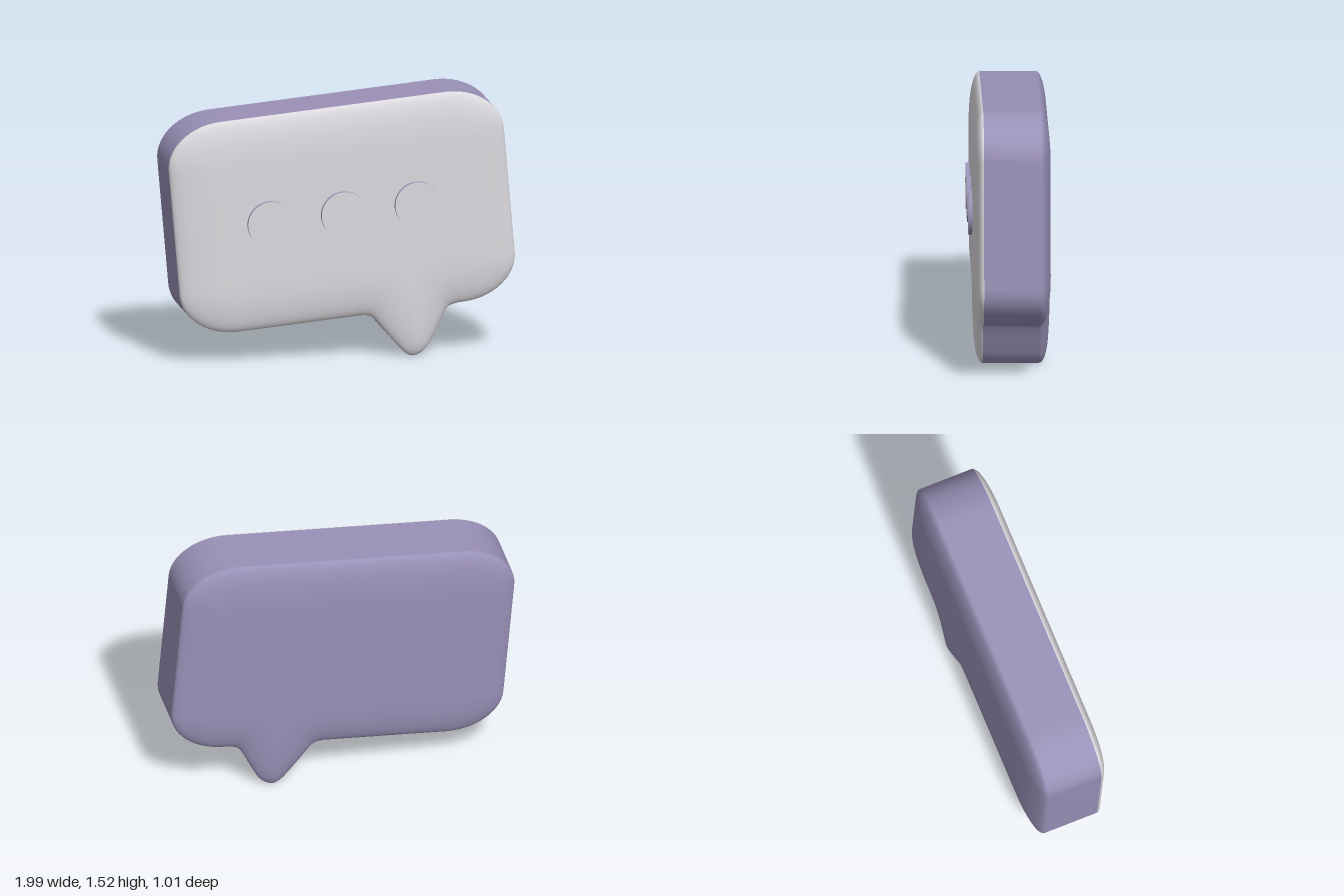
import * as THREE from 'three';

const W = 0.97, H = 0.613, RX = 0.32, RY = 0.25;   // half size and corner radii
const DEPTH = 0.16, BULGE = 0.06, SOFT = 0.27;     // half wall depth, cushion height and width

// Pointer hanging from the lower edge
const tail = new THREE.SplineCurve([
  [0.06, -0.613], [0.12, -0.63], [0.18, -0.712], [0.245, -0.805], [0.297, -0.868], [0.34, -0.885],
  [0.385, -0.87], [0.425, -0.835], [0.475, -0.757], [0.53, -0.665], [0.565, -0.625], [0.62, -0.613],
].map(([x, y]) => new THREE.Vector2(x, y))).getPoints(110);

// Upper edge height of the rounded panel at u
function topEdge(u) {
  const k = Math.min(1, Math.max(0, (Math.abs(u) - (W - RX)) / RX));
  return H - RY + RY * Math.sqrt(1 - k * k);
}

// Lower edge height at u, including the pointer
function bottomEdge(u) {
  for (let i = 1; i < tail.length; i++) {
    const a = tail[i - 1], b = tail[i];
    if (u >= a.x && u < b.x) return a.y + (b.y - a.y) * (u - a.x) / (b.x - a.x);
  }
  return -topEdge(u);
}

// Columns across the panel, denser around the corners
function columns() {
  const us = [], n = 14, m = 90;
  for (let i = 0; i < n; i++) us.push(-(W - RX) - RX * Math.cos(i / n * Math.PI / 2));
  for (let i = 0; i <= m; i++) us.push((W - RX) * (2 * i / m - 1));
  for (let i = n - 1; i >= 0; i--) us.push(W - RX + RX * Math.cos(i / n * Math.PI / 2));
  return us;
}

function makeGeometry(positions, index) {
  const g = new THREE.BufferGeometry();
  g.setAttribute('position', new THREE.Float32BufferAttribute(positions, 3));
  g.setIndex(index);
  g.computeVertexNormals();
  return g;
}

// Distance from a point to the closed outline
function edgeDistance(x, y, loop) {
  let best = Infinity;
  loop.forEach((a, i) => {
    const b = loop[(i + 1) % loop.length];
    const dx = b.x - a.x, dy = b.y - a.y;
    const t = Math.min(1, Math.max(0, ((x - a.x) * dx + (y - a.y) * dy) / (dx * dx + dy * dy)));
    best = Math.min(best, Math.hypot(x - a.x - t * dx, y - a.y - t * dy));
  });
  return best;
}

// Cushioned face on one side (1 front, -1 back)
function capGeometry(us, loop, side) {
  const rows = 44, pos = [], index = [];
  us.forEach((u, i) => {
    const lo = bottomEdge(u), hi = topEdge(u);
    for (let j = 0; j <= rows; j++) {
      const v = lo + (hi - lo) * (1 - Math.cos(Math.PI * j / rows)) / 2;
      const t = Math.min(1, edgeDistance(u, v, loop) / SOFT);
      pos.push(u, v, side * (DEPTH + BULGE * Math.sqrt(1 - (1 - t) ** 2)));
      if (i < us.length - 1 && j < rows) {
        const a = i * (rows + 1) + j, d = a + 1, b = a + rows + 1, c = b + 1;
        if (side > 0) index.push(a, b, c, a, c, d);
        else index.push(a, c, b, a, d, c);
      }
    }
  });
  return makeGeometry(pos, index);
}

// Straight wall following the outline
function wallGeometry(loop) {
  const pos = [], index = [], n = loop.length;
  loop.forEach((p, k) => {
    pos.push(p.x, p.y, -DEPTH, p.x, p.y, DEPTH);
    const a = 2 * k, b = 2 * ((k + 1) % n);
    index.push(a, b, b + 1, a, b + 1, a + 1);
  });
  return makeGeometry(pos, index);
}

export function createModel() {
  const pale = new THREE.MeshStandardMaterial({ name: 'paleGrey', color: 0xdcd9de });
  const purple = new THREE.MeshStandardMaterial({ name: 'mutedPurple', color: 0x9a91b8 });

  const us = columns();
  const loop = [
    ...us.map(u => new THREE.Vector2(u, bottomEdge(u))),
    ...us.slice().reverse().map(u => new THREE.Vector2(u, topEdge(u))),
  ];

  const bubble = new THREE.Group();
  bubble.name = 'speechBubble';
  const add = (name, geometry, material) => {
    const mesh = new THREE.Mesh(geometry, material);
    mesh.name = name;
    bubble.add(mesh);
    return mesh;
  };

  add('frontFace', capGeometry(us, loop, 1), pale);
  add('backFace', capGeometry(us, loop, -1), purple);
  add('sideWall', wallGeometry(loop), purple);

  // Three raised dots with pale faces and purple rims
  const dotGeometry = new THREE.CylinderGeometry(0.132, 0.132, 0.04, 48).rotateX(Math.PI / 2);
  ['rightDot', 'middleDot', 'leftDot'].forEach((name, i) => {
    add(name, dotGeometry, [purple, pale, purple]).position.set((i - 1) * 0.426, 0, 0.222);
  });

  // Turned and slightly rolled pose
  bubble.rotation.set(0, THREE.MathUtils.degToRad(20), THREE.MathUtils.degToRad(5), 'YXZ');
  bubble.position.y = 0.853;

  const model = new THREE.Group();
  model.name = 'chatBubble';
  model.add(bubble);
  return model;
}
